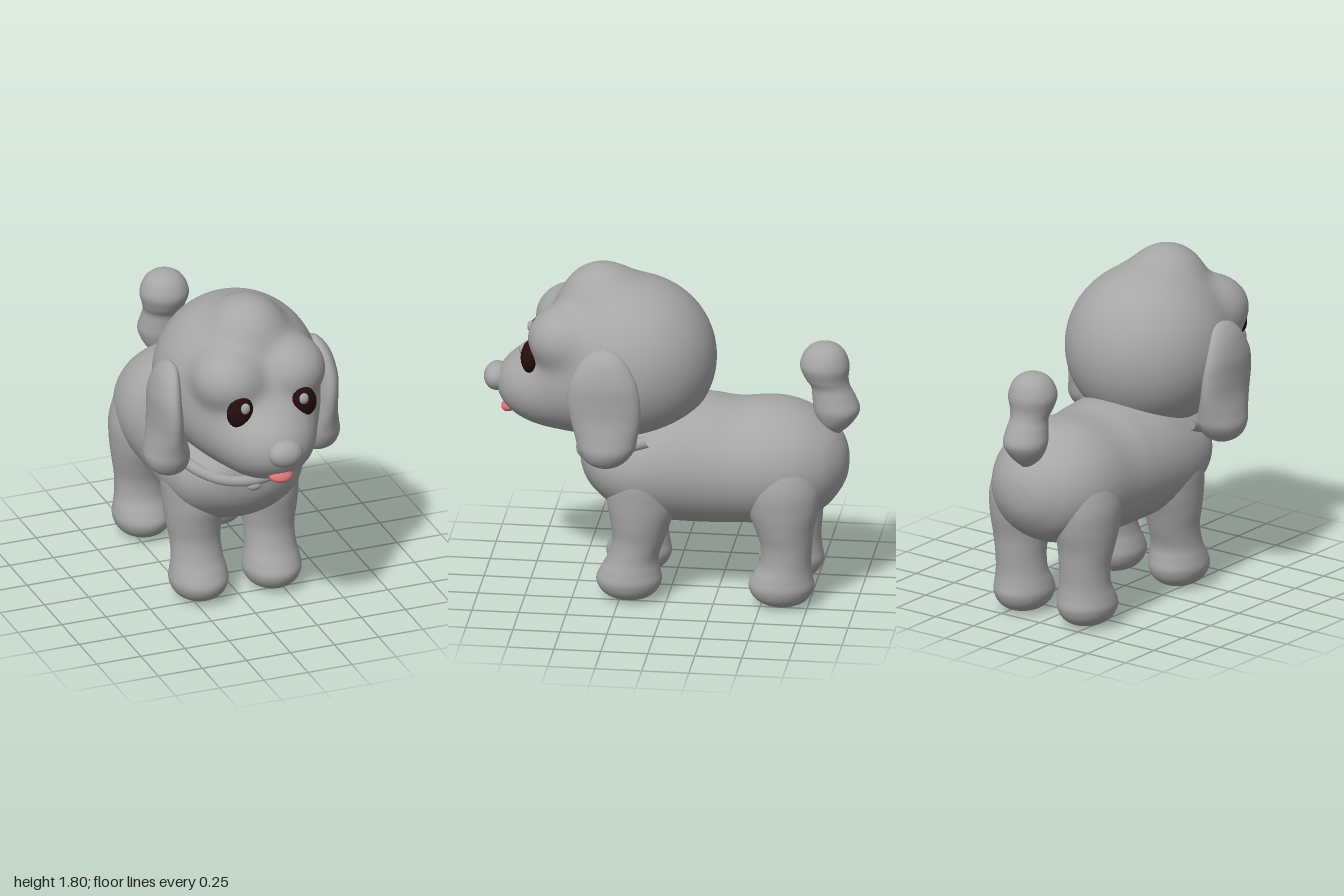
import * as THREE from 'three';
import { mergeVertices } from 'three/addons/utils/BufferGeometryUtils.js';

const mat = (name, hex) => {
  const m = new THREE.MeshStandardMaterial({ color: hex });
  m.name = name;
  return m;
};

// Smooth closed loft upward along y; rows are [y, centreX, centreZ, radiusX, radiusZ]
function loft(rows, steps = 64, sides = 48) {
  const curve = (f) => new THREE.CatmullRomCurve3(rows.map(f), false, 'catmullrom', 0.5);
  const centre = curve((r) => new THREE.Vector3(r[1], r[0], r[2]));
  const radius = curve((r) => new THREE.Vector3(r[3], 0, r[4]));
  const pos = [], idx = [];
  for (let i = 0; i <= steps; i++) {
    const c = centre.getPoint(i / steps), r = radius.getPoint(i / steps);
    for (let j = 0; j < sides; j++) {
      const a = (j / sides) * Math.PI * 2;
      pos.push(c.x + Math.max(r.x, 0.0005) * Math.cos(a), c.y, c.z + Math.max(r.z, 0.0005) * Math.sin(a));
      if (i < steps) {
        const k = (j + 1) % sides, p = i * sides, q = p + sides;
        idx.push(p + j, q + j, p + k, p + k, q + j, q + k);
      }
    }
  }
  const g = new THREE.BufferGeometry();
  g.setAttribute('position', new THREE.Float32BufferAttribute(pos, 3));
  g.setIndex(idx);
  g.computeVertexNormals();
  return g;
}

// Head volumes: [centre, radii], melted together by a smooth union
const HEAD = [
  [[0, 1.3, 0.21], [0.44, 0.44, 0.445]], // skull
  [[0, 1.59, 0.37], [0.21, 0.22, 0.22]], // crown
  [[0.17, 1.45, 0.54], [0.19, 0.17, 0.2]], // brows
  [[-0.17, 1.45, 0.54], [0.19, 0.17, 0.2]],
  [[0, 1.2, 0.42], [0.36, 0.31, 0.34]], // cheeks
  [[0, 1.13, 0.6], [0.27, 0.23, 0.33]], // muzzle
];
function headField(x, y, z) {
  const k = 32;
  let sum = 0;
  for (const [c, r] of HEAD) {
    const q = Math.hypot((x - c[0]) / r[0], (y - c[1]) / r[1], (z - c[2]) / r[2]);
    sum += Math.exp(-k * (q - 1) * Math.min(...r));
  }
  return -Math.log(sum + 1e-300) / k;
}
// Distance along a ray from inside the head to its surface
function headHit(o, d) {
  let lo = 0, hi = 1.1;
  for (let i = 0; i < 26; i++) {
    const t = (lo + hi) / 2;
    if (headField(o.x + d.x * t, o.y + d.y * t, o.z + d.z * t) < 0) lo = t;
    else hi = t;
  }
  return lo;
}
function headGeometry() {
  let g = new THREE.SphereGeometry(1, 112, 80);
  g.deleteAttribute('uv');
  g.deleteAttribute('normal');
  g = mergeVertices(g, 1e-5);
  const p = g.attributes.position, o = new THREE.Vector3(0, 1.3, 0.36), d = new THREE.Vector3();
  for (let i = 0; i < p.count; i++) {
    d.fromBufferAttribute(p, i).normalize();
    d.multiplyScalar(headHit(o, d)).add(o);
    p.setXYZ(i, d.x, d.y, d.z);
  }
  g.computeVertexNormals();
  return g;
}

export function createModel() {
  const dog = new THREE.Group();
  dog.name = 'puppy';
  const grey = mat('grey coat', 0xa6a6a6);
  const dark = mat('dark eye', 0x240c0e);
  const pink = mat('pink tongue', 0xd97478);

  const add = (name, geo, m = grey) => {
    const mesh = new THREE.Mesh(geo, m);
    mesh.name = name;
    dog.add(mesh);
    return mesh;
  };
  const ball = (name, m, at, r) => {
    const mesh = add(name, new THREE.SphereGeometry(1, 32, 24), m);
    mesh.position.set(...at);
    mesh.scale.set(...r);
    return mesh;
  };

  // Torso: [z, top, bottom, half width], lofted along z from rump to chest
  const torso = [
    [-0.942, 0.75, 0.75, 0], [-0.93, 0.84, 0.67, 0.09], [-0.89, 0.92, 0.59, 0.18],
    [-0.82, 0.99, 0.51, 0.265], [-0.7, 1.06, 0.45, 0.335], [-0.55, 1.09, 0.42, 0.365],
    [-0.35, 1.075, 0.41, 0.365], [-0.2, 1.09, 0.405, 0.372], [0, 1.09, 0.41, 0.385],
    [0.15, 1.05, 0.43, 0.382], [0.3, 1.0, 0.49, 0.345], [0.41, 0.95, 0.58, 0.26],
    [0.465, 0.89, 0.67, 0.15], [0.485, 0.77, 0.77, 0],
  ];
  const torsoGeo = loft(torso.map(([z, t, b, w]) => [z, 0, -(t + b) / 2, w, (t - b) / 2]), 104, 64);
  add('torso', torsoGeo.rotateX(Math.PI / 2));

  add('head', headGeometry());

  // Leg rows: [y, x, z offset, radius x, radius z]
  const paw = [
    [0.008, 0.207, 0, 0, 0], [0.022, 0.207, 0, 0.08, 0.09], [0.06, 0.207, 0.002, 0.132, 0.148],
    [0.12, 0.207, 0.002, 0.157, 0.174], [0.18, 0.207, -0.005, 0.151, 0.158], [0.25, 0.208, -0.02, 0.138, 0.136],
  ];
  const frontLeg = [
    ...paw, [0.35, 0.21, -0.048, 0.136, 0.14], [0.45, 0.212, -0.06, 0.15, 0.16],
    [0.57, 0.21, -0.07, 0.163, 0.19], [0.72, 0.21, -0.08, 0.165, 0.19], [0.86, 0.2, -0.09, 0.12, 0.14], [0.95, 0.18, -0.09, 0, 0],
  ];
  const hindLeg = [
    ...paw, [0.35, 0.21, -0.025, 0.136, 0.138], [0.45, 0.212, -0.015, 0.15, 0.158],
    [0.57, 0.21, -0.005, 0.166, 0.195], [0.7, 0.205, 0, 0.17, 0.205], [0.84, 0.19, 0, 0.13, 0.16], [0.95, 0.17, 0, 0, 0],
  ];
  const ear = [
    [0.82, 0.42, 0.3, 0, 0], [0.835, 0.42, 0.3, 0.055, 0.06], [0.87, 0.422, 0.3, 0.1, 0.112],
    [0.93, 0.425, 0.295, 0.12, 0.15], [1.0, 0.427, 0.295, 0.108, 0.166], [1.1, 0.435, 0.3, 0.082, 0.186],
    [1.2, 0.44, 0.307, 0.074, 0.193], [1.3, 0.443, 0.31, 0.069, 0.178], [1.4, 0.43, 0.31, 0.057, 0.132],
    [1.46, 0.415, 0.31, 0.033, 0.075], [1.485, 0.41, 0.31, 0, 0],
  ];
  const mirror = (rows, s, dz = 0) => rows.map(([y, x, z, a, b]) => [y, s * x, z + dz, a, b]);

  for (const s of [1, -1]) {
    const side = s > 0 ? 'left' : 'right';
    add(side + 'FrontLeg', loft(mirror(frontLeg, s, 0.2)));
    add(side + 'HindLeg', loft(mirror(hindLeg, s, -0.61)));
    add(side + 'Ear', loft(mirror(ear, s)));

    // Eye set on the face, tapering slightly toward its outer lower corner
    const o = new THREE.Vector3(s * 0.18, 1.335, 0.4);
    const z = o.z + headHit(o, new THREE.Vector3(0, 0, 1));
    const eye = ball(side + 'Eye', dark, [s * 0.18, 1.335, z], [0.071, 0.088, 0.052]);
    eye.rotation.z = s * 0.25;
    ball(side + 'EyeGlint', grey, [s * 0.166, 1.37, z + 0.044], [0.026, 0.031, 0.018]);
  }

  // Tail with a round tip
  add('tail', loft([
    [0.89, 0, -0.86, 0, 0], [0.93, 0, -0.863, 0.045, 0.045], [0.98, 0, -0.87, 0.09, 0.09],
    [1.05, 0, -0.877, 0.118, 0.122], [1.12, 0, -0.862, 0.11, 0.115], [1.18, 0, -0.843, 0.102, 0.104],
    [1.23, 0, -0.822, 0.115, 0.116], [1.3, 0, -0.812, 0.131, 0.131], [1.37, 0, -0.812, 0.107, 0.107],
    [1.41, 0, -0.812, 0.062, 0.062], [1.424, 0, -0.812, 0, 0],
  ]));

  // Collar running under the chin, with a small tag
  const half = [[0.37, 0.96, 0.08], [0.32, 0.87, 0.31], [0.18, 0.805, 0.435]];
  const path = [
    ...half.map(([x, y, z]) => new THREE.Vector3(-x, y, z)),
    new THREE.Vector3(0, 0.785, 0.475),
    ...half.reverse().map(([x, y, z]) => new THREE.Vector3(x, y, z)),
  ];
  add('collar', new THREE.TubeGeometry(new THREE.CatmullRomCurve3(path), 64, 0.032, 14));
  ball('collarTag', grey, [0, 0.755, 0.482], [0.042, 0.028, 0.025]);

  ball('nose', grey, [0, 1.15, 0.93], [0.095, 0.076, 0.07]);
  ball('tongue', pink, [0, 0.992, 0.86], [0.065, 0.033, 0.05]).rotation.x = 0.4;
  return dog;
}
